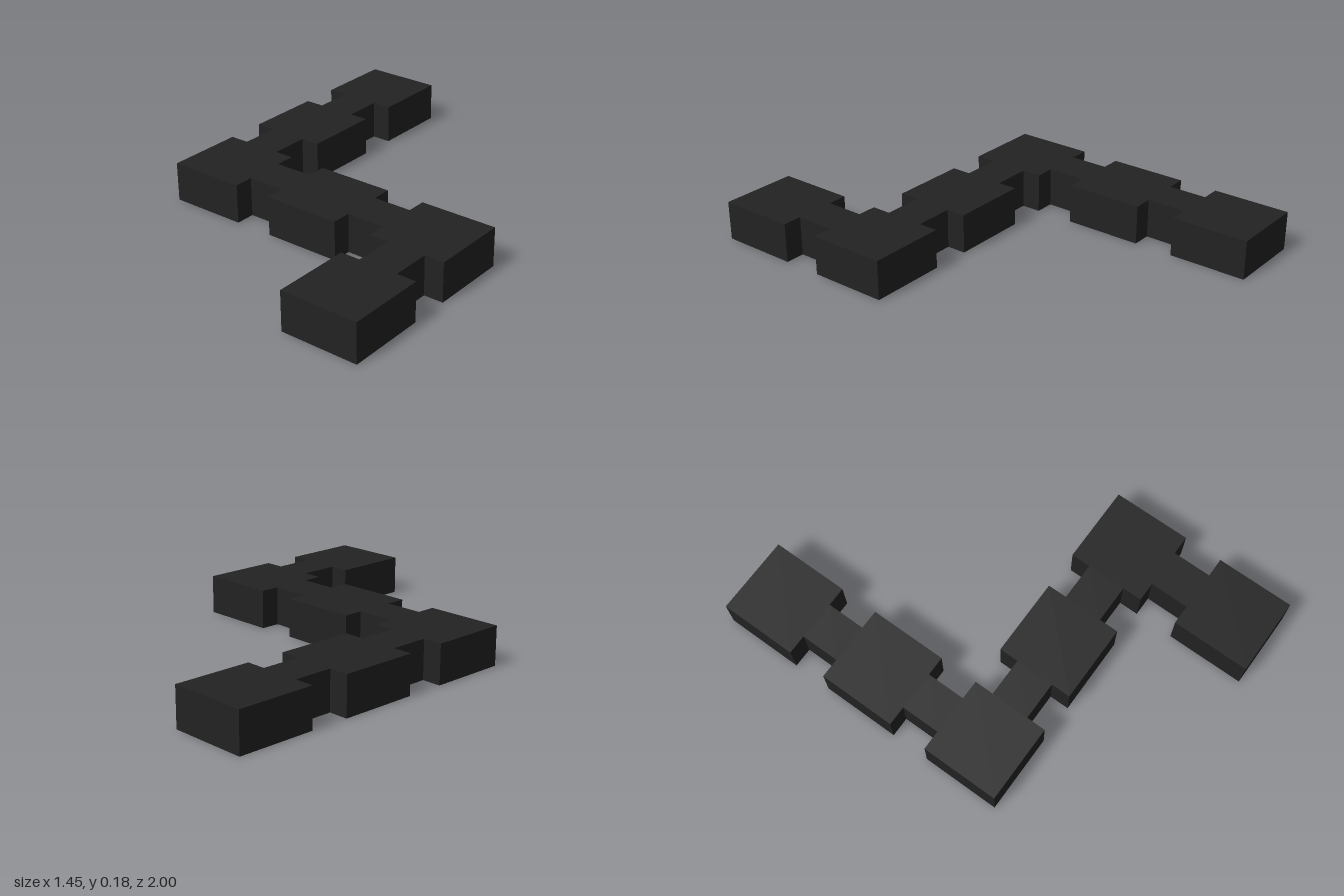
import * as THREE from 'three';

const U = 2 / 11; // grid unit: blocks are 2 x 2, links 1 x 1, all 1 high

export function createModel() {
  const model = new THREE.Group();
  model.name = 'blockChain';
  const charcoal = new THREE.MeshStandardMaterial({ color: 0x222222 });
  charcoal.name = 'charcoal';

  const addBox = (name, size, x, z) => {
    const mesh = new THREE.Mesh(new THREE.BoxGeometry(size * U, U, size * U), charcoal);
    mesh.name = name;
    mesh.position.set(x * U, U / 2, z * U);
    model.add(mesh);
  };

  // Block centres along the zigzag, from back to front
  const centres = [[-3, -4.5], [-3, -1.5], [-3, 1.5], [0, 1.5], [3, 1.5], [3, 4.5]];

  centres.forEach(([x, z], i) => {
    addBox(`block${i + 1}`, 2, x, z);
    // Narrow link halfway to the next block
    const next = centres[i + 1];
    if (next) addBox(`link${i + 1}`, 1, (x + next[0]) / 2, (z + next[1]) / 2);
  });

  return model;
}
